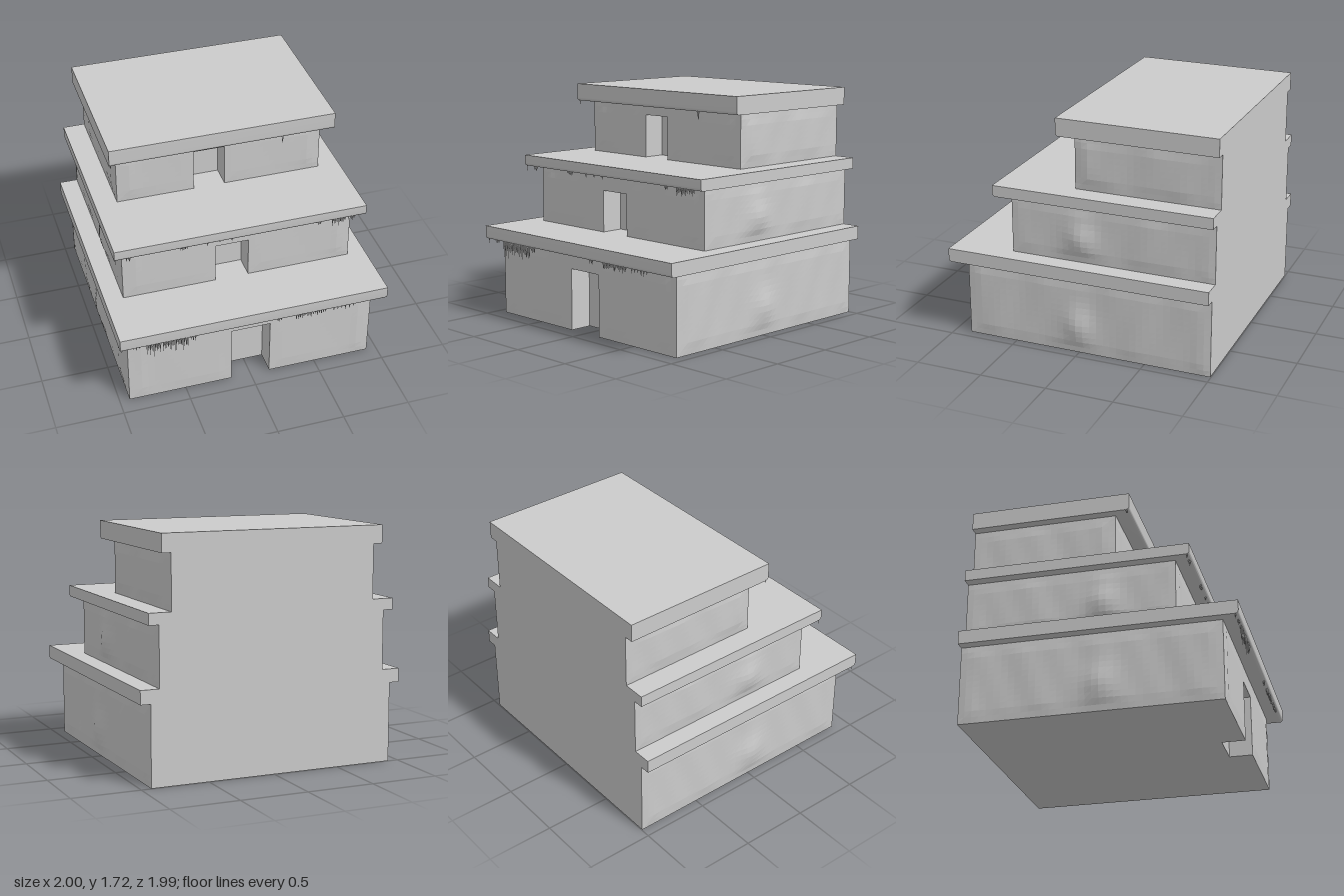
import * as THREE from 'three';
import { toCreasedNormals } from 'three/addons/utils/BufferGeometryUtils.js';

const BACK = -0.995;
const RECESS = 0.17;
const stone = new THREE.MeshStandardMaterial({ color: 0xcccccc });
const rough = new THREE.MeshStandardMaterial({ color: 0xcccccc, flatShading: true });

// y0 floor, y1 underside of the roof slab, y2 top of the slab
// drips: [start x, end x, count, longest length]
const TIERS = [
  { name: 'lower', half: 0.925, front: 0.875, y0: 0, y1: 0.58, y2: 0.68, slabHalf: 1, slabFront: 0.995,
    door: [-0.15, 0.145, 0.455], bulge: [0.2, 0.13, 0.032],
    drips: [[-0.99, -0.98, 1, 0.04], [-0.91, -0.85, 3, 0.03], [-0.81, -0.7, 9, 0.13], [-0.69, -0.5, 16, 0.12],
      [-0.49, -0.44, 3, 0.05], [0.16, 0.2, 3, 0.035], [0.3, 0.54, 15, 0.055], [0.58, 0.76, 6, 0.04]] },
  { name: 'middle', half: 0.862, front: 0.54, y0: 0.68, y1: 1.112, y2: 1.195, slabHalf: 0.937, slabFront: 0.655,
    door: [-0.17, 0.08, 0.99], bulge: [0.85, 0.11, 0.03],
    drips: [[-0.93, -0.925, 1, 0.045], [-0.85, -0.81, 4, 0.04], [-0.46, -0.4, 5, 0.03], [-0.26, -0.25, 1, 0.03],
      [-0.17, -0.16, 1, 0.02], [-0.08, -0.07, 1, 0.025], [0.56, 0.6, 3, 0.03], [0.68, 0.79, 9, 0.07], [0.8, 0.86, 4, 0.045]] },
  { name: 'upper', half: 0.773, front: 0.083, y0: 1.195, y1: 1.59, y2: 1.722, slabHalf: 0.842, slabFront: 0.2,
    door: [-0.195, 0.04, 1.515], bulge: [1.35, 0.13, 0.006],
    drips: [[-0.84, -0.825, 2, 0.035], [0.445, 0.452, 2, 0.07]] },
];

function seeded(seed) {
  return () => (seed = (seed * 16807) % 2147483647) / 2147483647;
}

// Weathered wall skin: a grid pushed outward, fading to nothing at its edges
function panel(w, h, relief) {
  const geo = new THREE.PlaneGeometry(w, h, Math.max(2, Math.round(w / 0.05)), Math.round(h / 0.045));
  const p = geo.attributes.position;
  for (let i = 0; i < p.count; i++) {
    const x = p.getX(i), y = p.getY(i);
    const edge = Math.min(w / 2 - Math.abs(x), h / 2 - Math.abs(y));
    p.setZ(i, 0.001 + THREE.MathUtils.smoothstep(edge, 0, 0.09) * relief(x, y));
  }
  geo.computeVertexNormals();
  return geo;
}

function add(group, name, geo, material, x = 0, y = 0, z = 0) {
  const mesh = new THREE.Mesh(geo, material);
  mesh.name = name;
  mesh.position.set(x, y, z);
  group.add(mesh);
  return mesh;
}

function buildTier(t, index) {
  const g = new THREE.Group();
  g.name = t.name + 'Tier';
  const h = t.y1 - t.y0, midY = (t.y0 + t.y1) / 2;
  const [d0, d1, doorTop] = t.door;

  // Solid core behind the doorway
  const coreFront = t.front - RECESS;
  add(g, 'core', new THREE.BoxGeometry(t.half * 2, h, coreFront - BACK), stone, 0, midY, (coreFront + BACK) / 2);

  // Front wall with the doorway cut out
  const wall = new THREE.Shape([
    [-t.half, t.y0], [d0, t.y0], [d0, doorTop], [d1, doorTop], [d1, t.y0],
    [t.half, t.y0], [t.half, t.y1], [-t.half, t.y1],
  ].map(([x, y]) => new THREE.Vector2(x, y)));
  add(g, 'frontWall', new THREE.ExtrudeGeometry(wall, { depth: RECESS, bevelEnabled: false }), stone, 0, 0, coreFront);

  // Faint unevenness either side of the door
  for (const [a, b] of [[-t.half, d0], [d1, t.half]]) {
    const cx = (a + b) / 2;
    const geo = panel(b - a, h, (x, y) => {
      const X = x + cx;
      return 0.0025 + 0.0012 * Math.sin(9 * X + 5 * y + index) + 0.004 * Math.exp(-(((Math.abs(X) - t.half + 0.08) / 0.06) ** 2));
    });
    add(g, 'frontWallSkin', geo, rough, cx, midY, t.front);
  }

  // Weathered side walls with a swelling near the middle
  const depth = t.front - BACK, midZ = (t.front + BACK) / 2;
  const [by, bh, amount] = t.bulge;
  for (const side of [-1, 1]) {
    const geo = panel(depth, h, (x, y) => {
      const z = midZ - side * x, Y = y + midY;
      const waves = 0.007 + 0.004 * Math.sin(11 * z + index) * Math.cos(4 * y) + 0.002 * Math.sin(23 * z + 9 * y);
      return waves + amount * Math.exp(-((z / 0.1) ** 2) - (((Y - by) / bh) ** 2));
    });
    const skin = add(g, side > 0 ? 'leftWallSkin' : 'rightWallSkin', geo, rough, side * t.half, midY, midZ);
    skin.rotation.y = side * Math.PI / 2;
  }

  // Roof slab, rounded under its front edge
  const r = 0.024;
  const profile = new THREE.Shape();
  profile.moveTo(BACK, t.y1);
  profile.lineTo(t.slabFront - r, t.y1);
  profile.absarc(t.slabFront - r, t.y1 + r, r, -Math.PI / 2, 0, false);
  profile.lineTo(t.slabFront, t.y2);
  profile.lineTo(BACK, t.y2);
  const slab = new THREE.ExtrudeGeometry(profile, { depth: t.slabHalf * 2, bevelEnabled: false, curveSegments: 6 });
  slab.translate(0, 0, -t.slabHalf).rotateY(-Math.PI / 2);
  add(g, 'roofSlab', toCreasedNormals(slab, 0.6), stone);

  // Ragged drips hanging from the front edge
  const rand = seeded(31 + index * 97);
  const drips = new THREE.Group();
  drips.name = 'drips';
  for (const [a, b, count, longest] of t.drips) {
    for (let i = 0; i < count; i++) {
      const len = longest * (0.45 + 0.55 * (i === Math.floor(count / 2) ? 1 : rand()));
      const x = a + (b - a) * (i + 0.5) / count;
      const cone = new THREE.ConeGeometry(0.005 + 0.004 * rand(), len + 0.006, 5);
      cone.rotateX(Math.PI);
      add(drips, 'drip', cone, rough, x, t.y1 - len / 2 + 0.003, t.slabFront - 0.02 + 0.006 * (rand() - 0.5));
    }
  }
  g.add(drips);
  return g;
}

export function createModel() {
  const model = new THREE.Group();
  model.name = 'steppedBuilding';
  TIERS.forEach((t, i) => model.add(buildTier(t, i)));
  return model;
}
